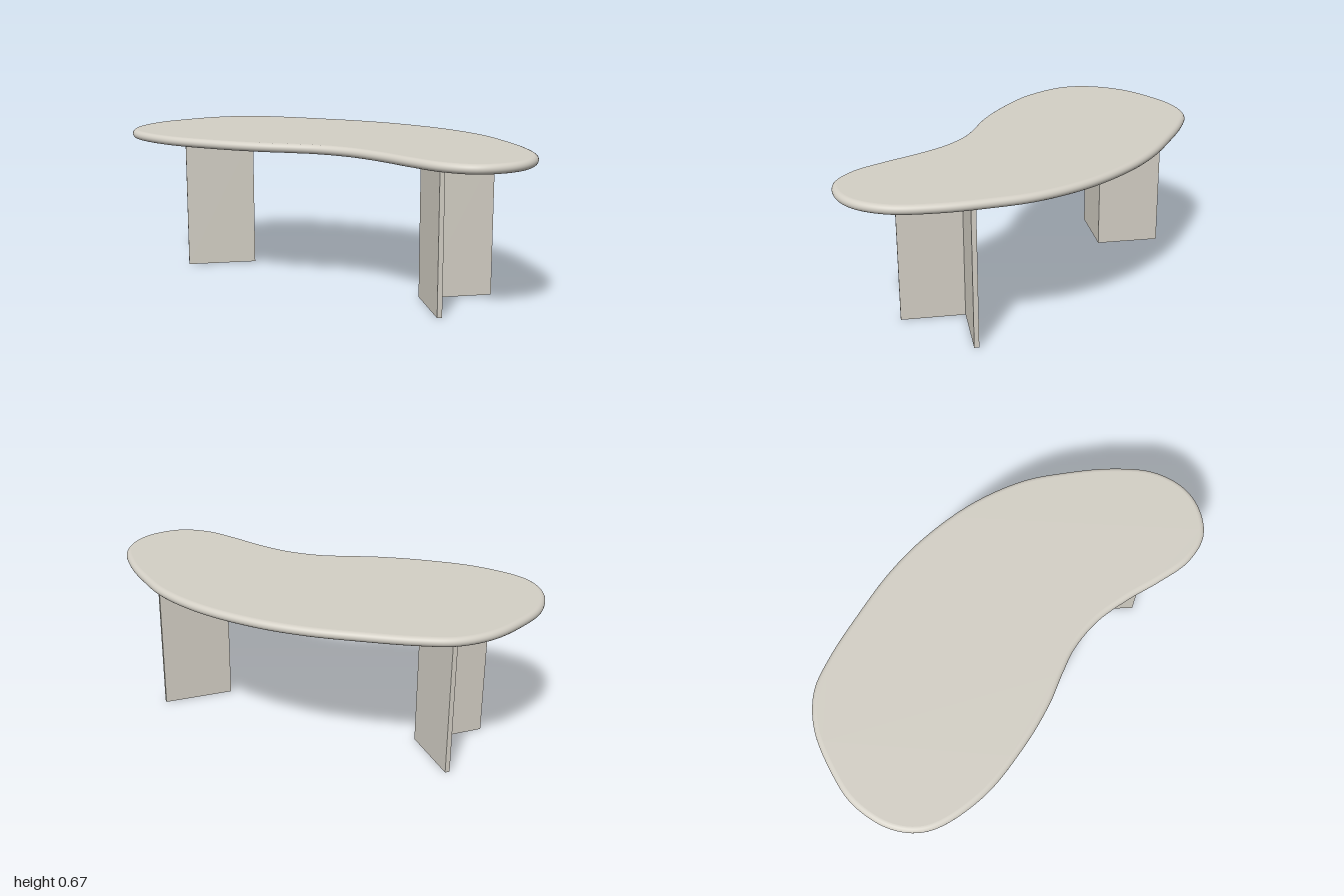
import * as THREE from 'three';

const TOP_MID = 0.649, TOP_HALF = 0.02, EDGE = 0.022;

// Kidney outline of the tabletop, as x, z pairs
const OUTLINE = [
  [-1, 0.16], [-0.955, 0.34], [-0.85, 0.45], [-0.61, 0.5], [-0.345, 0.467], [-0.14, 0.41],
  [0, 0.35], [0.11, 0.31], [0.265, 0.292], [0.43, 0.313], [0.59, 0.35], [0.75, 0.372],
  [0.885, 0.335], [0.97, 0.23], [0.996, 0.11], [0.955, -0.035], [0.83, -0.18], [0.67, -0.305],
  [0.51, -0.405], [0.27, -0.483], [0, -0.508], [-0.22, -0.49], [-0.45, -0.437],
  [-0.66, -0.375], [-0.8, -0.31], [-0.905, -0.19], [-0.973, -0.01],
];

// Outline samples pushed in along the outward normal
function sampleOutline(count) {
  const curve = new THREE.CatmullRomCurve3(OUTLINE.map(([x, z]) => new THREE.Vector3(x, 0, z)), true);
  curve.arcLengthDivisions = 800;
  return Array.from({ length: count }, (_, i) => {
    const p = curve.getPointAt(i / count), t = curve.getTangentAt(i / count);
    return { x: p.x, z: p.z, nx: -t.z, nz: t.x };
  });
}

// Rounded rim: a half-oval section swept round the outline
function rimGeometry(samples, steps) {
  const positions = [], index = [], n = samples.length;
  for (let j = 0; j <= steps; j++) {
    const a = -Math.PI / 2 + (Math.PI * j) / steps;
    const push = (Math.cos(a) - 1) * EDGE;
    for (const s of samples) {
      positions.push(s.x + s.nx * push, TOP_MID + TOP_HALF * Math.sin(a), s.z + s.nz * push);
    }
  }
  for (let j = 0; j < steps; j++) {
    for (let i = 0; i < n; i++) {
      const k = (i + 1) % n;
      const a = j * n + i, b = j * n + k, c = b + n, d = a + n;
      index.push(a, b, c, a, c, d);
    }
  }
  const geo = new THREE.BufferGeometry();
  geo.setAttribute('position', new THREE.Float32BufferAttribute(positions, 3));
  geo.setIndex(index);
  geo.computeVertexNormals();
  return geo;
}

// Flat face of the tabletop; side is 1 for the upper one, -1 for the underside
function faceGeometry(samples, side) {
  const pts = samples.map((s) => new THREE.Vector2(s.x - s.nx * EDGE, -side * (s.z - s.nz * EDGE)));
  return new THREE.ShapeGeometry(new THREE.Shape(pts))
    .rotateX(-side * Math.PI / 2)
    .translate(0, TOP_MID + side * TOP_HALF, 0);
}

export function createModel() {
  const model = new THREE.Group();
  model.name = 'coffeeTable';
  const stone = new THREE.MeshStandardMaterial({ color: 0xd3cfc5 });
  stone.name = 'warmGrey';

  const add = (parent, name, geo) => {
    const mesh = new THREE.Mesh(geo, stone);
    mesh.name = name;
    parent.add(mesh);
    return mesh;
  };

  // Tabletop
  const top = new THREE.Group();
  top.name = 'tabletop';
  const samples = sampleOutline(240);
  add(top, 'tabletopRim', rimGeometry(samples, 14));
  add(top, 'tabletopUpperFace', faceGeometry(samples, 1));
  add(top, 'tabletopUnderside', faceGeometry(samples, -1));
  model.add(top);

  // Legs: two upright slabs joined at a right angle, with the corner at the origin
  const legHeight = TOP_MID - TOP_HALF + 0.002, t = 0.021, longArm = 0.32, shortArm = 0.3;
  const addLeg = (name, x, z, turn) => {
    const leg = new THREE.Group();
    leg.name = name;
    add(leg, 'shortSlab', new THREE.BoxGeometry(shortArm - t, legHeight, t)
      .translate((shortArm + t) / 2, legHeight / 2, -t / 2));
    add(leg, 'longSlab', new THREE.BoxGeometry(t, legHeight, longArm)
      .translate(t / 2, legHeight / 2, -longArm / 2));
    leg.position.set(x, 0, z);
    leg.rotation.y = turn;
    model.add(leg);
  };
  const tilt = THREE.MathUtils.degToRad(-43);
  addLeg('leftLeg', 0.438, 0.02, tilt);
  addLeg('rightLeg', -0.529, -0.01, tilt + Math.PI);

  return model;
}
